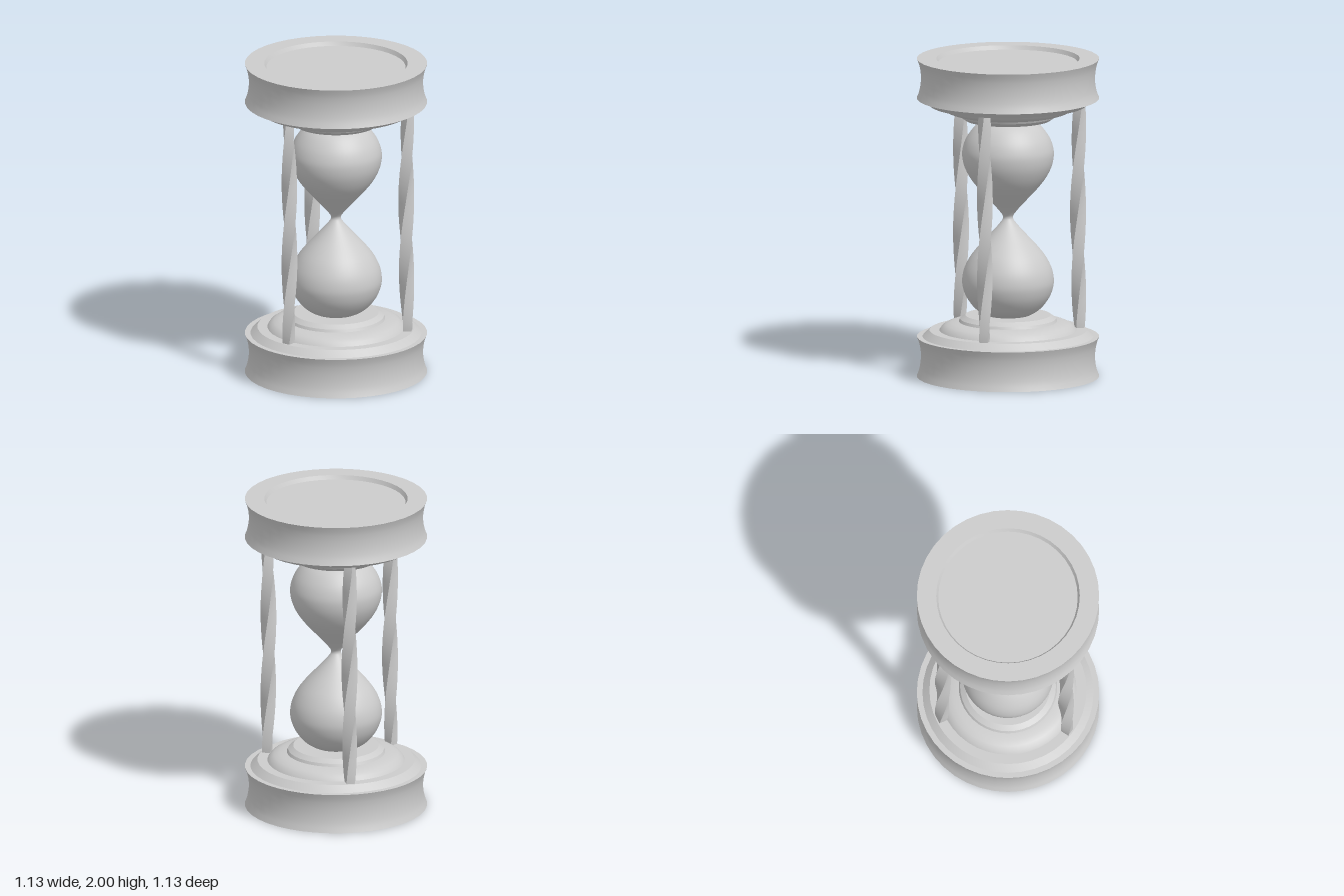
import * as THREE from 'three';
import { toCreasedNormals } from 'three/addons/utils/BufferGeometryUtils.js';

const SIDES = 40;
const material = new THREE.MeshStandardMaterial({ color: 0xcccccc });

function addMesh(parent, name, geometry) {
  const mesh = new THREE.Mesh(geometry, material);
  mesh.name = name;
  parent.add(mesh);
  return mesh;
}

const toPoints = (pairs) => pairs.map(([r, y]) => new THREE.Vector2(r, y));

// Lathe a closed profile that runs from the lower axis outwards and back to the upper axis
function turned(pairs) {
  return toCreasedNormals(new THREE.LatheGeometry(toPoints(pairs), SIDES), 0.45);
}

// Outer side of an end cap: waisted drum, bevelled ledge and two rounded steps
const capSide = [
  [0.565, 0], [0.553, 0.03], [0.546, 0.06], [0.541, 0.1], [0.541, 0.15],
  [0.546, 0.19], [0.553, 0.22], [0.565, 0.25],
  [0.53, 0.25], [0.487, 0.29], [0.425, 0.29],
  [0.41, 0.312], [0.385, 0.328], [0.35, 0.34], [0.305, 0.345],
  [0.297, 0.362], [0.265, 0.385], [0, 0.385],
];

// Twisted square post, thicker in the middle and bowed slightly inwards
function postGeometry(bottom, top, twist) {
  const height = top - bottom;
  const geometry = new THREE.BoxGeometry(1, height, 1, 2, 48, 2);
  const pos = geometry.attributes.position;
  const p = new THREE.Vector3();
  const axis = new THREE.Vector3(0, 1, 0);
  for (let i = 0; i < pos.count; i++) {
    p.fromBufferAttribute(pos, i);
    const t = p.y / height + 0.5;
    const swell = Math.sin(Math.PI * t);
    const width = 0.05 + 0.02 * Math.sqrt(Math.max(swell, 0));
    p.x *= width;
    p.z *= width;
    p.applyAxisAngle(axis, twist * t);
    p.x -= 0.01 * swell;
    p.y += (bottom + top) / 2;
    pos.setXYZ(i, p.x, p.y, p.z);
  }
  return toCreasedNormals(geometry, 0.6);
}

export function createModel() {
  const model = new THREE.Group();
  model.name = 'hourglass';

  // Base with a deep tapered hollow underneath
  addMesh(model, 'base', turned([[0, 0.09], [0.405, 0.09], [0.445, 0], ...capSide]));

  // Lid is the base turned over, with a shallow recess
  const lidSide = capSide.map(([r, y]) => [r, 2 - y]).reverse();
  addMesh(model, 'lid', turned([...lidSide, [0.445, 2], [0.432, 1.975], [0, 1.975]]));

  // Glass: one smooth curve for the lower bulb, mirrored for the upper
  const lower = [
    [0.06, 0.365], [0.14, 0.388], [0.205, 0.43], [0.255, 0.495], [0.28, 0.56],
    [0.284, 0.615], [0.27, 0.68], [0.235, 0.75], [0.185, 0.815], [0.125, 0.88],
    [0.07, 0.94], [0.038, 0.98],
  ];
  const upper = lower.map(([r, y]) => [r, 2 - y]).reverse();
  const curve = new THREE.SplineCurve(toPoints([...lower, [0.03, 1], ...upper]));
  addMesh(model, 'glassBulbs', new THREE.LatheGeometry(curve.getPoints(96), 48));

  // Three twisted posts around the glass
  const post = postGeometry(0.28, 1.72, THREE.MathUtils.degToRad(240));
  for (let i = 0; i < 3; i++) {
    const angle = Math.PI + (i * 2 * Math.PI) / 3;
    const mesh = addMesh(model, `post${i + 1}`, post);
    mesh.position.set(Math.cos(angle) * 0.452, 0, -Math.sin(angle) * 0.452);
    mesh.rotation.y = angle;
  }

  return model;
}
